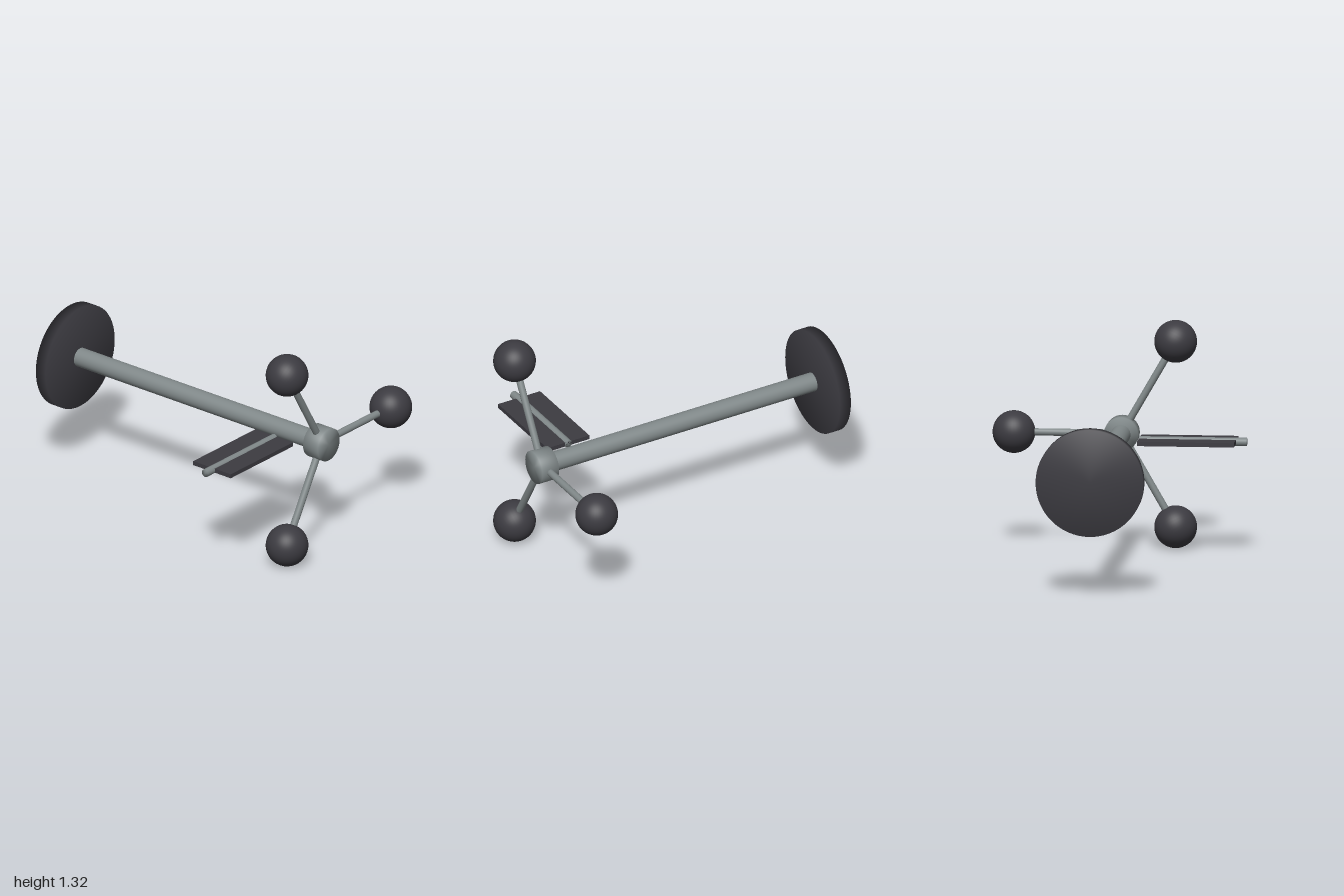
import * as THREE from 'three';
import { mergeVertices } from 'three/addons/utils/BufferGeometryUtils.js';

const AXIS_Y = 0.667;   // height of the main shaft
const HUB_Z = 0.877;    // plane of the hub, spokes and knobs

export function createModel() {
  const model = new THREE.Group();
  model.name = 'spokedHandle';

  const steel = new THREE.MeshStandardMaterial({ color: 0x808889 });
  steel.name = 'grey steel';
  const dark = new THREE.MeshStandardMaterial({ color: 0x3c3b41 });
  dark.name = 'dark charcoal';

  function add(name, geometry, material, parent = model) {
    const mesh = new THREE.Mesh(geometry, material);
    mesh.name = name;
    parent.add(mesh);
    return mesh;
  }

  // Cylinder whose shading rolls softly over its rims
  function softCylinder(radius, length, sides = 48) {
    let g = new THREE.CylinderGeometry(radius, radius, length, sides);
    g.deleteAttribute('uv');
    g.deleteAttribute('normal');
    g = mergeVertices(g);
    g.computeVertexNormals();
    return g;
  }

  // Cylinder along z between two depths
  function addAlongZ(name, radius, z0, z1, material) {
    const g = softCylinder(radius, z1 - z0, 64).rotateX(Math.PI / 2);
    add(name, g, material).position.set(0, AXIS_Y, (z0 + z1) / 2);
  }

  // Main axle: end disc, shaft and hub
  addAlongZ('endDisc', 0.311, -1, -0.927, dark);
  addAlongZ('shaft', 0.056, -0.94, 0.84, steel);
  addAlongZ('hub', 0.099, 0.82, 0.93, steel);

  // Three spokes, each tipped with a round knob
  for (let i = 0; i < 3; i++) {
    const arm = new THREE.Group();
    arm.name = 'arm' + (i + 1);
    arm.position.set(0, AXIS_Y, HUB_Z);
    arm.rotation.z = (i * Math.PI * 2) / 3;
    model.add(arm);
    const spoke = softCylinder(0.021, 0.6, 24).rotateZ(Math.PI / 2);
    add('spoke', spoke, steel, arm).position.x = 0.32;
    add('knob', new THREE.SphereGeometry(0.123, 40, 28), dark, arm).position.x = 0.623;
  }

  // Side pedal: flat plate with a rod through its middle
  const pedal = new THREE.Group();
  pedal.name = 'pedal';
  pedal.position.set(0, AXIS_Y, 0.627);
  model.add(pedal);
  const rod = softCylinder(0.024, 0.623, 24).rotateZ(Math.PI / 2);
  add('pedalRod', rod, steel, pedal).position.x = -0.437;
  add('pedalPlate', new THREE.BoxGeometry(0.561, 0.025, 0.28), dark, pedal).position.x = -0.406;

  return model;
}
